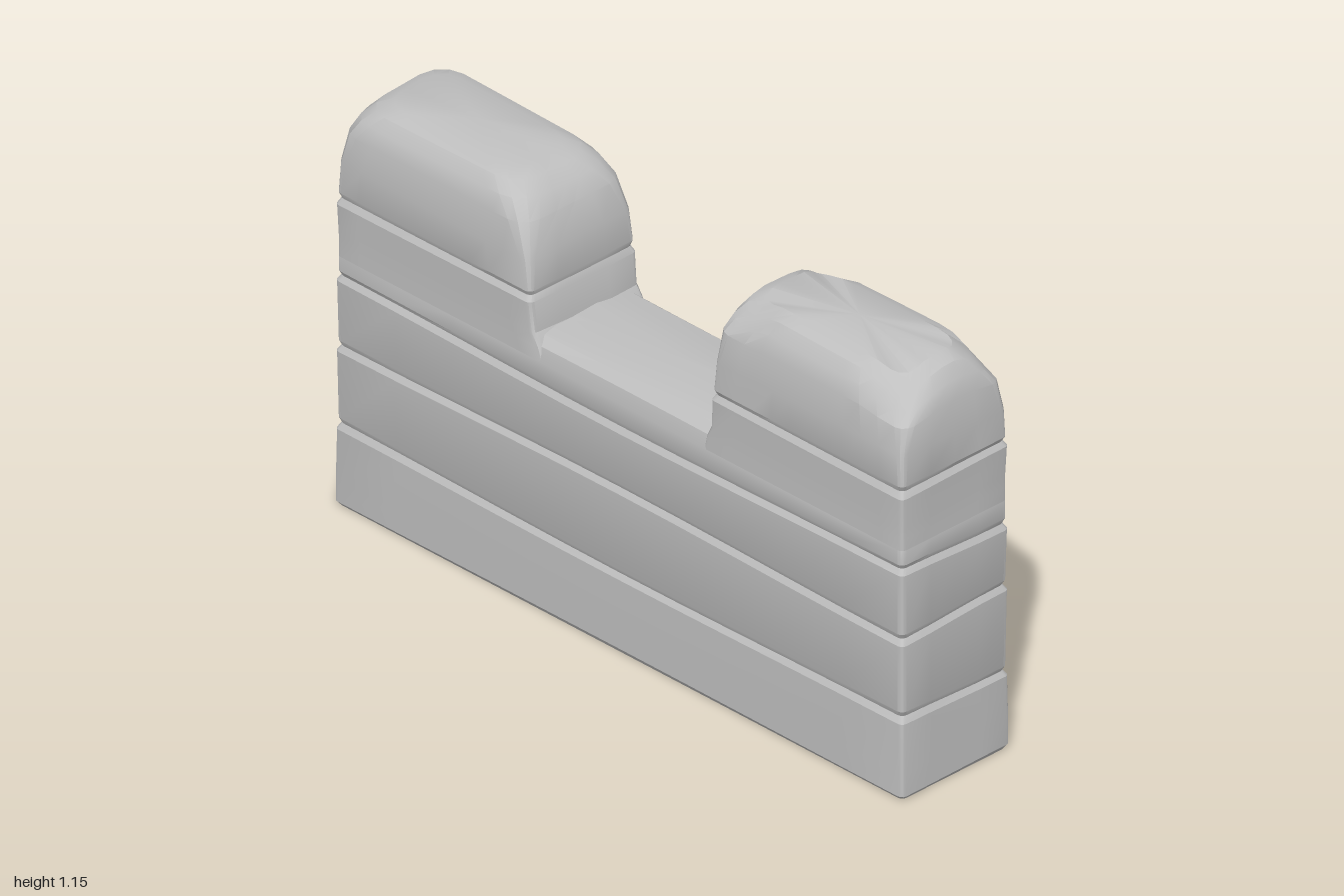
import * as THREE from 'three';
import { toCreasedNormals } from 'three/addons/utils/BufferGeometryUtils.js';

const HALF_LENGTH = 0.98, HALF_DEPTH = 0.184;

// Rounded rectangle in plan, with extra points along each edge
function planLoop(x0, x1, hz, r) {
  const corners = [[x1 - r, hz - r], [x0 + r, hz - r], [x0 + r, r - hz], [x1 - r, r - hz]];
  const arcs = corners.map(([cx, cz], k) => [0, 1, 2, 3].map((i) => {
    const a = (k + i / 3) * Math.PI / 2;
    return [cx + r * Math.cos(a), cz + r * Math.sin(a)];
  }));
  const loop = [];
  arcs.forEach((arc, k) => {
    loop.push(...arc);
    const a = arc[3], b = arcs[(k + 1) % 4][0], n = k % 2 ? 4 : 10;
    for (let i = 1; i < n; i++) {
      const t = i / n;
      loop.push([a[0] + (b[0] - a[0]) * t, a[1] + (b[1] - a[1]) * t]);
    }
  });
  return loop;
}

// Slight unevenness of the stone courses
const uneven = (x, y, z) => y + 0.007 * Math.sin(3.1 * x + 9 * z) * Math.sin(2 * Math.PI * y / 0.35);

// Stack plan loops: each level is { y, x0, x1, hz, r }
function loft(levels, crownY, chips = []) {
  const pos = [], index = [];
  const add = (x, y, z) => {
    let py = uneven(x, y, z), px = x, pz = z;
    for (const [cx, cy, cz, size] of chips) {
      const d = Math.hypot(x - cx, y - cy, z - cz);
      if (d < size) {
        const k = 0.3 * (size - d);
        py -= k;
        pz -= Math.sign(cz) * k * 0.4;
      }
    }
    pos.push(px, py, pz);
  };
  let n = 0;
  for (const l of levels) {
    const loop = planLoop(l.x0, l.x1, l.hz, l.r);
    n = loop.length;
    loop.forEach(([x, z]) => add(x, l.y, z));
  }
  for (let j = 0; j < levels.length - 1; j++) {
    for (let i = 0; i < n; i++) {
      const a = j * n + i, b = j * n + (i + 1) % n;
      index.push(a, a + n, b, b, a + n, b + n);
    }
  }
  const first = levels[0], last = levels[levels.length - 1], m = levels.length * n, top = m - n;
  add((first.x0 + first.x1) / 2, first.y, 0);
  add((last.x0 + last.x1) / 2, crownY, 0);
  for (let i = 0; i < n; i++) {
    const k = (i + 1) % n;
    index.push(m, i, k, m + 1, top + k, top + i);
  }
  const g = new THREE.BufferGeometry();
  g.setAttribute('position', new THREE.Float32BufferAttribute(pos, 3));
  g.setIndex(index);
  return toCreasedNormals(g, 0.42);
}

// Three levels that cut a shallow joint between courses: [height, inset]
const joint = (y) => [[y - 0.016, 0.002], [y, 0.011], [y + 0.014, 0.005]];

export function createModel() {
  const wall = new THREE.Group();
  wall.name = 'battlementWall';
  const stone = new THREE.MeshStandardMaterial({ color: 0xbfbfbf });
  stone.name = 'grey stone';
  const addPart = (name, geometry) => {
    const mesh = new THREE.Mesh(geometry, stone);
    mesh.name = name;
    wall.add(mesh);
  };

  // Lower wall with three joints and a softened sill in the gap
  const body = [
    [0, 0.008], [0.012, 0], [0.08, 0], ...joint(0.225), ...joint(0.455), ...joint(0.64),
    [0.7, 0.005], [0.735, 0.014], [0.755, 0.036], [0.763, 0.08],
  ].map(([y, s]) => ({
    y, x0: s - HALF_LENGTH, x1: HALF_LENGTH - s, hz: HALF_DEPTH - s, r: 0.015,
  }));
  addPart('wallBody', loft(body, 0.766));

  // Raised blocks: [height, outer inset, position of gap face, corner radius]
  const leftBlock = [
    [0.7, 0.005, 0.26, 0.015], [0.735, 0.005, 0.275, 0.015], [0.765, 0.005, 0.295, 0.015],
    [0.849, 0.002, 0.304, 0.015], [0.865, 0.011, 0.312, 0.015], [0.879, 0.005, 0.308, 0.015],
    [0.96, 0.006, 0.315, 0.025], [1.05, 0.011, 0.335, 0.055], [1.095, 0.026, 0.365, 0.07],
    [1.125, 0.05, 0.4, 0.075], [1.14, 0.085, 0.44, 0.065],
  ];
  const rightBlock = [
    [0.7, 0.005, 0.285, 0.015], [0.735, 0.005, 0.295, 0.015], [0.765, 0.005, 0.31, 0.015],
    [0.849, 0.002, 0.316, 0.015], [0.865, 0.011, 0.324, 0.015], [0.879, 0.005, 0.319, 0.015],
    [0.96, 0.006, 0.324, 0.02], [1.05, 0.011, 0.332, 0.035], [1.095, 0.026, 0.343, 0.045],
    [1.125, 0.05, 0.362, 0.05], [1.14, 0.085, 0.4, 0.045],
  ];
  const blockLevels = (rows, side) => rows.map(([y, s, gap, r]) => ({
    y, r, hz: HALF_DEPTH - s,
    x0: side < 0 ? s - HALF_LENGTH : gap,
    x1: side < 0 ? -gap : HALF_LENGTH - s,
  }));
  addPart('rightRaisedBlock', loft(blockLevels(leftBlock, -1), 1.148));

  // The other block has worn, chipped top corners
  const chips = [
    [0.4, 1.13, 0.15, 0.1], [0.4, 1.13, -0.15, 0.09],
    [0.93, 1.11, 0.15, 0.13], [0.93, 1.11, -0.15, 0.11],
  ];
  addPart('leftRaisedBlock', loft(blockLevels(rightBlock, 1), 1.148, chips));

  // The whole wall stands at a slight angle
  wall.rotation.y = -0.173;
  return wall;
}
